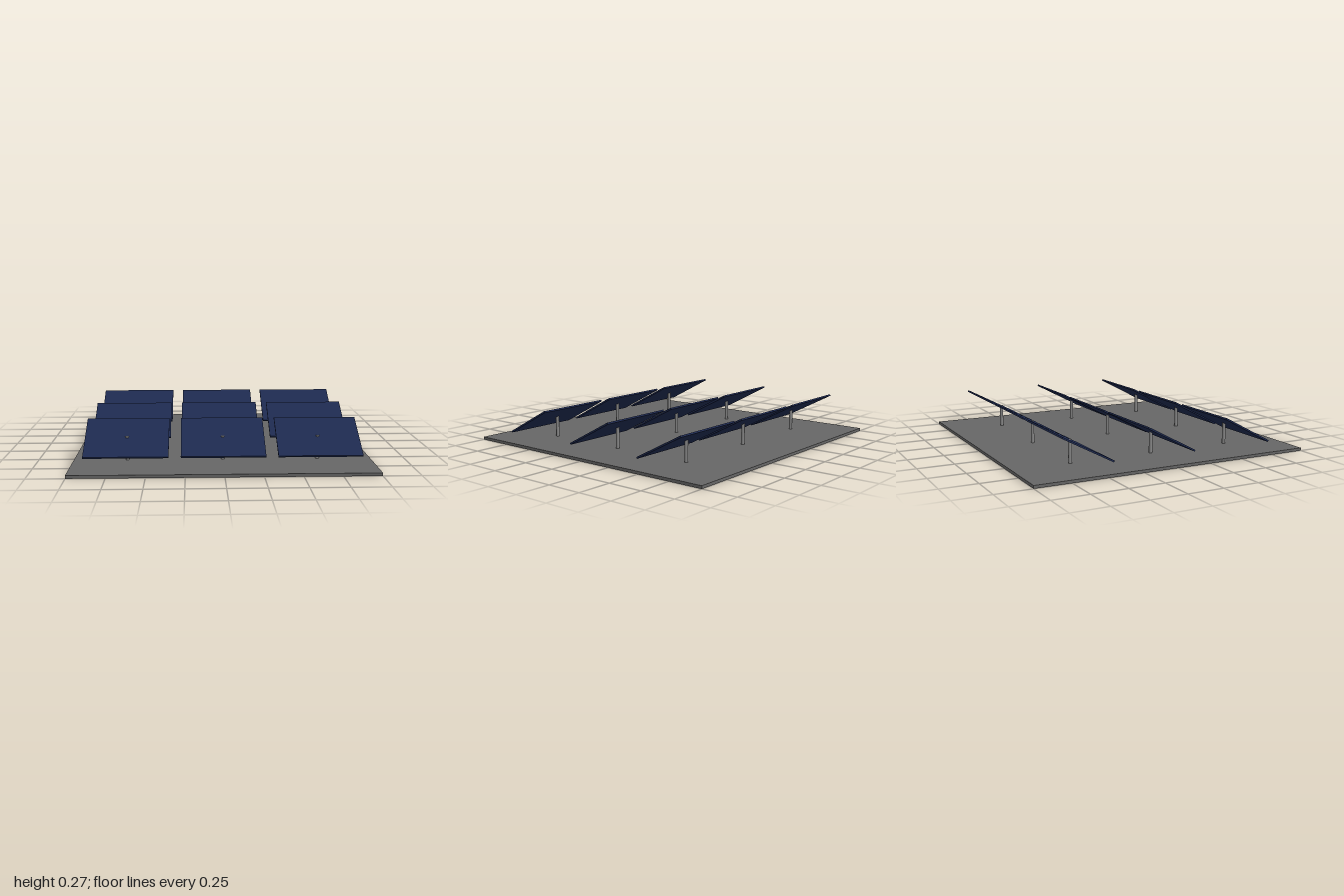
import * as THREE from 'three';

export function createModel() {
  const model = new THREE.Group();
  model.name = 'solarField';

  const material = (name, color) => {
    const m = new THREE.MeshStandardMaterial({ color });
    m.name = name;
    return m;
  };
  const groundGrey = material('groundGrey', 0x666666);
  const panelBlue = material('panelBlue', 0x1e2a50);
  const postGrey = material('postGrey', 0x888888);
  postGrey.flatShading = false;

  const add = (parent, name, geometry, mat, x, y, z) => {
    const mesh = new THREE.Mesh(geometry, mat);
    mesh.name = name;
    mesh.position.set(x, y, z);
    parent.add(mesh);
    return mesh;
  };

  // Ground slab
  add(model, 'groundSlab', new THREE.BoxGeometry(2, 0.02, 2), groundGrey, 0, 0.01, 0);

  // Three rows of three tilted panels; each post tip just breaks the panel face
  const panelGeometry = new THREE.BoxGeometry(0.56, 0.012, 0.4);
  const postGeometry = new THREE.CylinderGeometry(0.0125, 0.0125, 0.16, 8);
  for (const z of [-0.6, 0, 0.6]) {
    for (const x of [-0.64, 0, 0.64]) {
      const unit = new THREE.Group();
      unit.name = 'panelUnit';
      unit.position.set(x, 0, z);
      add(unit, 'post', postGeometry, postGrey, 0, 0.1, 0);
      add(unit, 'panel', panelGeometry, panelBlue, 0, 0.17, 0).rotation.x = 0.49;
      model.add(unit);
    }
  }
  return model;
}
